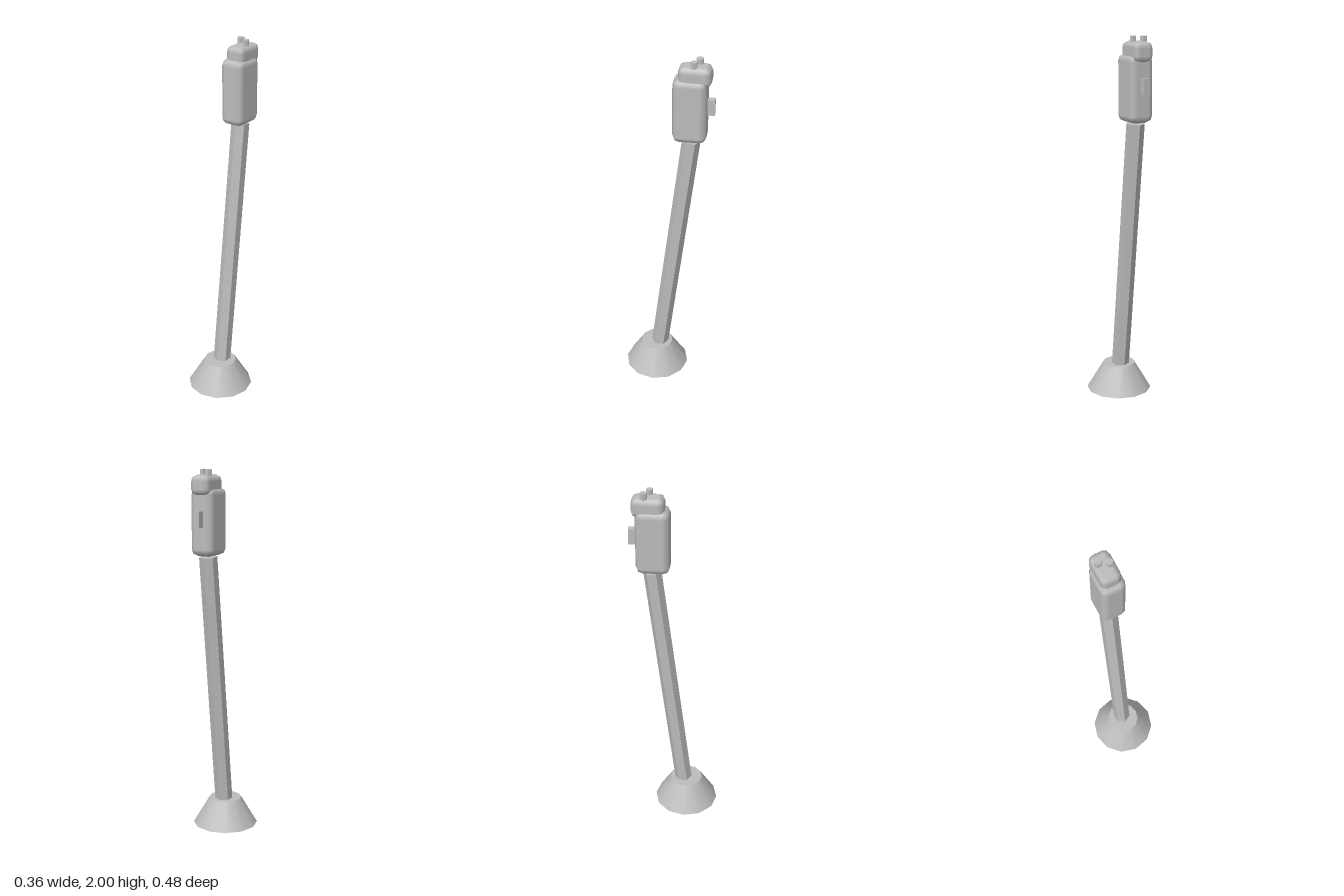
import * as THREE from 'three';
import { RoundedBoxGeometry } from 'three/addons/geometries/RoundedBoxGeometry.js';

export function createModel() {
  const group = new THREE.Group();
  const grey = new THREE.MeshStandardMaterial({ color: 0xbcbcbc });
  grey.name = 'plain grey';
  const faceted = new THREE.MeshStandardMaterial({ color: 0xbcbcbc, flatShading: true });
  faceted.name = 'faceted grey';

  const add = (name, geometry, material, x, y, z) => {
    const mesh = new THREE.Mesh(geometry, material);
    mesh.name = name;
    mesh.position.set(x, y, z);
    group.add(mesh);
    return mesh;
  };

  // Twelve-sided conical foot
  add('foot', new THREE.CylinderGeometry(0.09, 0.18, 0.15, 12), grey, 0, 0.085, 0.06);

  // Leaning hexagonal pole, its lower end just through the foot
  const bottom = new THREE.Vector3(0, 0.006, 0.06);
  const top = new THREE.Vector3(0, 1.548, -0.125);
  const axis = top.clone().sub(bottom);
  const centre = bottom.clone().add(top).multiplyScalar(0.5);
  const pole = add('pole', new THREE.CylinderGeometry(0.048, 0.048, axis.length(), 6), faceted,
    centre.x, centre.y, centre.z);
  pole.rotation.x = Math.atan2(axis.z, axis.y);

  // Rounded handle and its cap
  add('handle', new RoundedBoxGeometry(0.134, 0.354, 0.176, 1, 0.036), grey, 0, 1.731, -0.118);
  add('cap', new RoundedBoxGeometry(0.109, 0.106, 0.17, 1, 0.032), grey, 0, 1.92, -0.141);

  // Switch on the back
  add('switch', new THREE.BoxGeometry(0.035, 0.084, 0.08), faceted, 0, 1.749, -0.203);

  // Hexagonal buttons on the cap
  for (const [x, z, r] of [[-0.025, -0.16, 0.02], [0.023, -0.135, 0.018]]) {
    const button = add('button', new THREE.CylinderGeometry(r, r, 0.06, 6), faceted, x, 1.97, z);
    button.rotation.y = Math.PI / 6;
  }

  return group;
}
